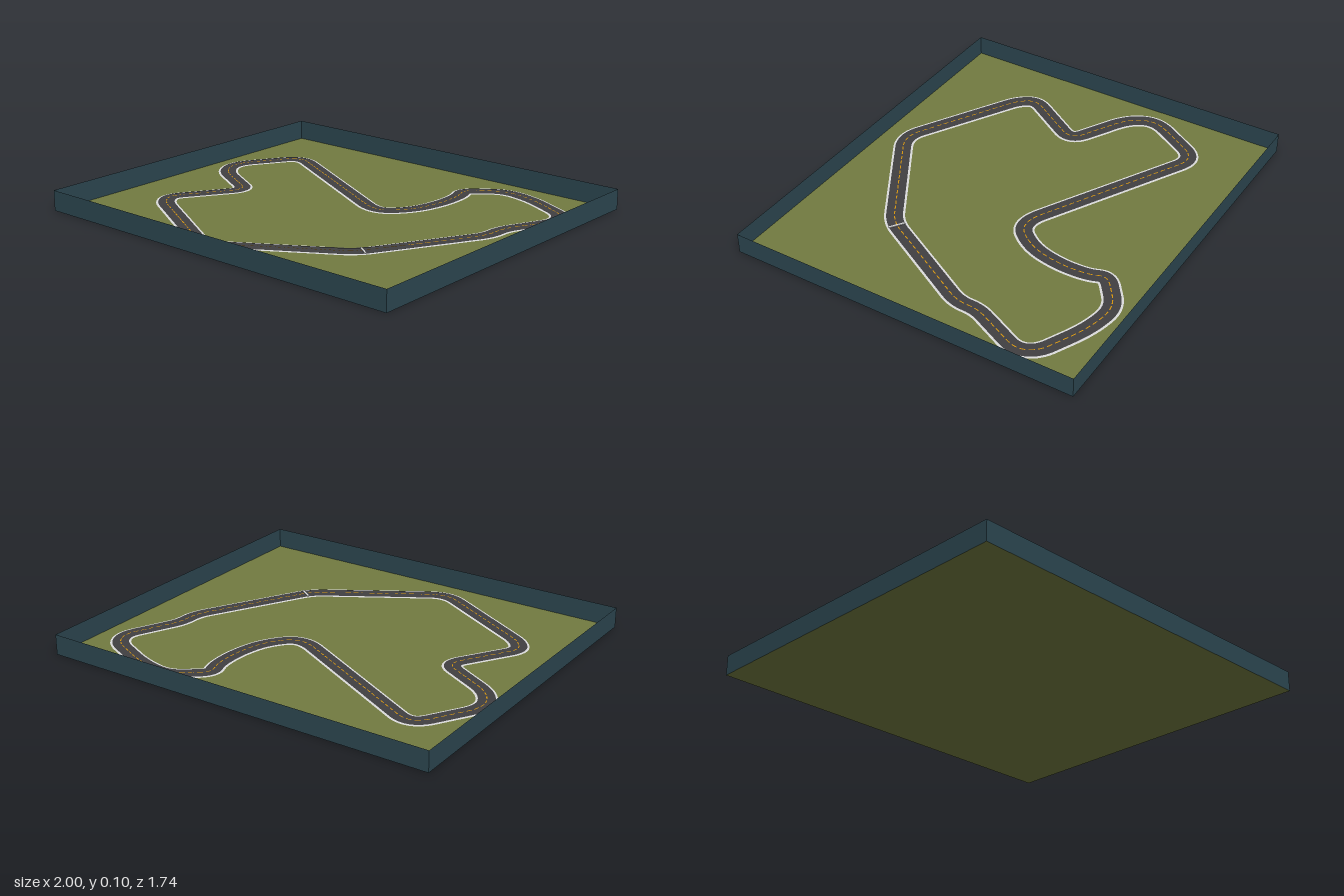
import * as THREE from 'three';
import { mergeGeometries } from 'three/addons/utils/BufferGeometryUtils.js';

const W = 2, D = 1.74, WALL = 0.1;

// Circuit corners as [x, z, length of rounding]
const corners = [
  [0.46, 0.405, 0.07], [-0.13, 0.762, 0.09], [-0.70, 0.445, 0.06], [-0.75, 0.365, 0.06],
  [-0.545, 0.045, 0.08], [-0.85, -0.12, 0.09], [-0.91, -0.25, 0.09], [-0.72, -0.56, 0.10],
  [0.16, -0.095, 0.12], [0.28, -0.23, 0.1], [0.32, -0.40, 0.1], [0.315, -0.55, 0.06],
  [0.28, -0.63, 0.06], [0.445, -0.755, 0.08], [0.62, -0.725, 0.1], [0.85, -0.615, 0.06],
  [0.89, -0.525, 0.06], [0.765, -0.26, 0.05], [0.765, -0.15, 0.06],
];

// Straights joined by rounded bends
function circuit() {
  const pts = corners.map(([x, z]) => new THREE.Vector2(x, z));
  const n = pts.length;
  const path = new THREE.CurvePath();
  let first = null, last = null;
  pts.forEach((p, i) => {
    const toward = (q) => {
      const d = p.distanceTo(q);
      return p.clone().lerp(q, Math.min(corners[i][2], d * 0.49) / d);
    };
    const a = toward(pts[(i + n - 1) % n]);
    const b = toward(pts[(i + 1) % n]);
    if (last) path.add(new THREE.LineCurve(last, a));
    else first = a;
    path.add(new THREE.QuadraticBezierCurve(a, p, b));
    last = b;
  });
  path.add(new THREE.LineCurve(last, first));
  return path;
}

// Flat strip following the path between t0 and t1
function ribbon(path, half, y, t0 = 0, t1 = 1, steps = 700) {
  const pos = [], index = [];
  for (let i = 0; i <= steps; i++) {
    const t = t0 + (t1 - t0) * i / steps;
    const p = path.getPoint(t);
    const a = path.getPoint((t - 0.0008 + 1) % 1), b = path.getPoint((t + 0.0008) % 1);
    const d = b.sub(a).normalize();
    pos.push(p.x - d.y * half, y, p.y + d.x * half, p.x + d.y * half, y, p.y - d.x * half);
    if (i < steps) {
      const k = i * 2;
      index.push(k, k + 1, k + 2, k + 1, k + 3, k + 2);
    }
  }
  const g = new THREE.BufferGeometry();
  g.setAttribute('position', new THREE.Float32BufferAttribute(pos, 3));
  g.setIndex(index);
  g.computeVertexNormals();
  // Make the strip face upward
  if (g.attributes.normal.getY(0) < 0) {
    g.setIndex(index.reverse());
    g.computeVertexNormals();
  }
  return g;
}

export function createModel() {
  const model = new THREE.Group();
  model.name = 'raceTrack';
  const mat = (name, color, side = THREE.FrontSide) => {
    const m = new THREE.MeshStandardMaterial({ color, side });
    m.name = name;
    return m;
  };
  const grass = mat('grass', 0x727b40, THREE.DoubleSide);
  const slate = mat('slate wall', 0x2c4650, THREE.DoubleSide);
  const asphalt = mat('asphalt', 0x403f42);
  const white = mat('white paint', 0xdcdcdc);
  const orange = mat('orange paint', 0xd8960c);

  const add = (name, geometry, material) => {
    const mesh = new THREE.Mesh(geometry, material);
    mesh.name = name;
    model.add(mesh);
    return mesh;
  };

  // Ground
  add('ground', new THREE.PlaneGeometry(W, D).rotateX(-Math.PI / 2), grass);

  // Four thin boundary walls
  for (const s of [1, -1]) {
    add(s > 0 ? 'frontWall' : 'backWall', new THREE.PlaneGeometry(W, WALL), slate)
      .position.set(0, WALL / 2, s * D / 2);
    add(s > 0 ? 'leftWall' : 'rightWall', new THREE.PlaneGeometry(D, WALL).rotateY(Math.PI / 2), slate)
      .position.set(s * W / 2, WALL / 2, 0);
  }

  // Road with white borders showing on both sides
  const path = circuit();
  add('roadBorder', ribbon(path, 0.049, 0.002), white);
  add('road', ribbon(path, 0.039, 0.004), asphalt);

  // Dashed centre line
  const count = Math.round(path.getLength() / 0.04);
  const dashes = [];
  for (let i = 0; i < count; i++) {
    dashes.push(ribbon(path, 0.0025, 0.006, i / count, (i + 0.65) / count, 3));
  }
  add('centreLine', mergeGeometries(dashes), orange);

  // Start line across the road
  const line = add('startLine', new THREE.BoxGeometry(0.08, 0.003, 0.01), white);
  line.position.set(0.475, 0.006, 0.375);
  line.rotation.y = -0.6;

  return model;
}
